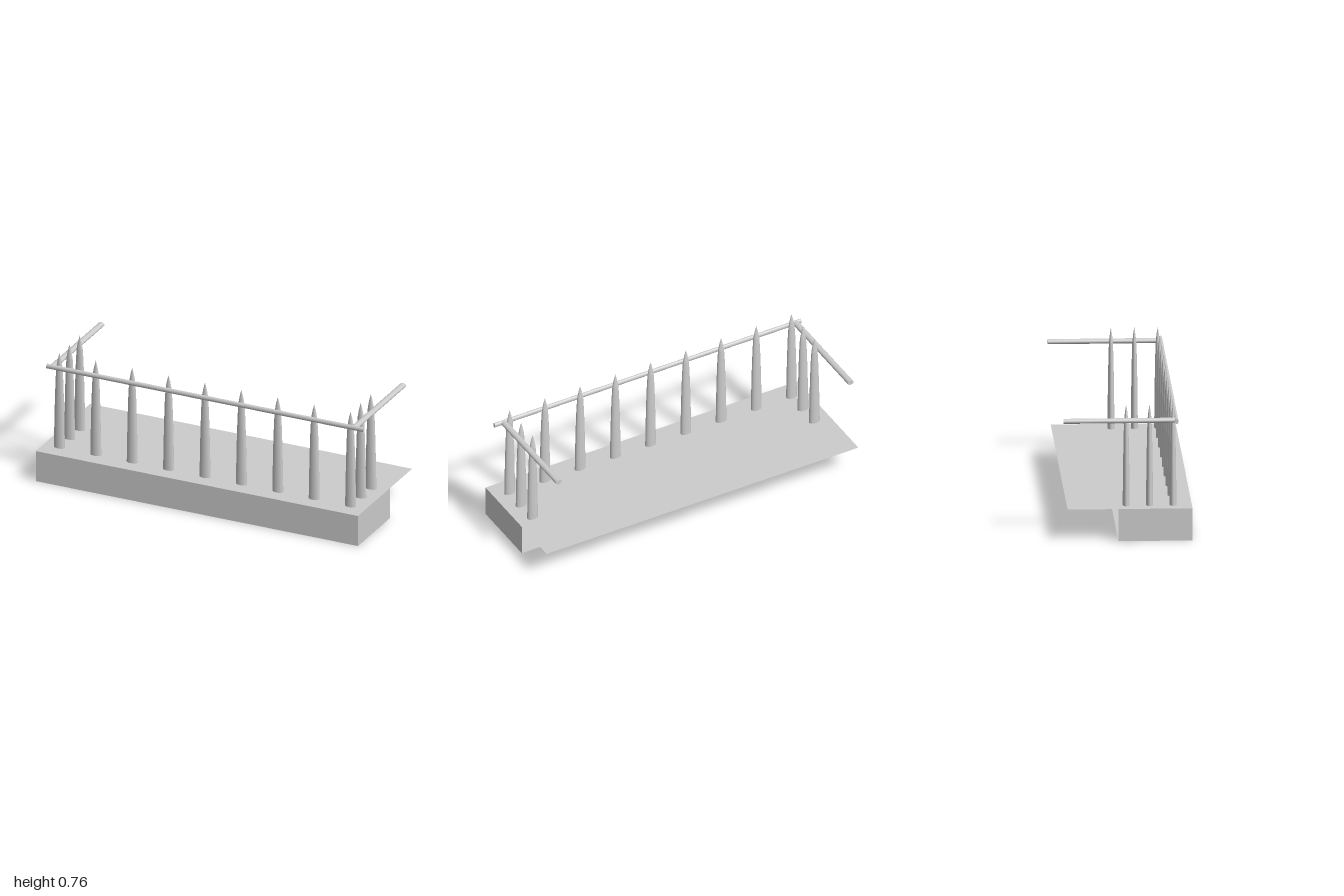
import * as THREE from 'three';

const material = new THREE.MeshStandardMaterial({ color: 0xcccccc, side: THREE.DoubleSide });

const TOP = 0.185, FRONT = 0.36, BACK = -0.055, DECK_BACK = -0.34;
const RAIL_Y = 0.679;

function addMesh(parent, name, geometry, x, y, z) {
  const mesh = new THREE.Mesh(geometry, material);
  mesh.name = name;
  mesh.position.set(x, y, z);
  parent.add(mesh);
  return mesh;
}

export function createModel() {
  const model = new THREE.Group();
  model.name = 'balcony';

  // Base: thin panels, open at the back
  const base = new THREE.Group();
  base.name = 'base';
  model.add(base);
  const depth = FRONT - BACK, midZ = (FRONT + BACK) / 2;
  addMesh(base, 'frontPanel', new THREE.PlaneGeometry(2, TOP), 0, TOP / 2, FRONT);
  addMesh(base, 'bottomPanel', new THREE.PlaneGeometry(2, depth).rotateX(Math.PI / 2), 0, 0, midZ);
  for (const side of [-1, 1]) {
    addMesh(base, side > 0 ? 'leftPanel' : 'rightPanel',
      new THREE.PlaneGeometry(depth, TOP).rotateY(side * Math.PI / 2), side, TOP / 2, midZ);
  }

  // Deck sheet overhanging the back of the base
  addMesh(model, 'deck', new THREE.PlaneGeometry(2, FRONT - DECK_BACK).rotateX(-Math.PI / 2),
    0, TOP, (FRONT + DECK_BACK) / 2);

  // Pointed pickets with an oval section; separate lathes keep the shoulder crisp
  const shaft = new THREE.LatheGeometry(
    [[1, 0.182], [0.93, 0.32], [0.83, 0.47], [0.7, 0.6], [0.56, 0.68]].map(p => new THREE.Vector2(...p)), 20)
    .scale(0.033, 1, 0.02);
  const tip = new THREE.LatheGeometry(
    [[0.56, 0.68], [0.3, 0.727], [0, 0.765]].map(p => new THREE.Vector2(...p)), 20)
    .scale(0.033, 1, 0.02);
  const foot = new THREE.CircleGeometry(1, 20).rotateX(Math.PI / 2).scale(0.033, 1, 0.02);
  const pickets = new THREE.Group();
  pickets.name = 'pickets';
  model.add(pickets);

  function addPicket(x, z) {
    const picket = new THREE.Group();
    picket.name = 'picket';
    picket.position.set(x, 0, z);
    addMesh(picket, 'picketShaft', shaft, 0, 0, 0);
    addMesh(picket, 'picketTip', tip, 0, 0, 0);
    addMesh(picket, 'picketFoot', foot, 0, 0.182, 0);
    pickets.add(picket);
  }
  for (let i = -4; i <= 4; i++) addPicket(i * 0.226, 0.255);
  for (const x of [-0.904, 0.904]) {
    for (const z of [0.124, -0.007]) addPicket(x, z);
  }

  // Oval handrails along the front and both ends
  const frontRail = new THREE.CylinderGeometry(1, 1, 1.966, 24)
    .rotateZ(Math.PI / 2).scale(1, 0.014, 0.0105);
  addMesh(model, 'frontRail', frontRail, 0.01, RAIL_Y, 0.273);
  const sideRail = new THREE.CylinderGeometry(1, 1, 0.63, 24)
    .rotateX(Math.PI / 2).scale(0.0185, 0.014, 1);
  addMesh(model, 'leftRail', sideRail, 0.934, RAIL_Y, -0.045);
  addMesh(model, 'rightRail', sideRail, -0.939, RAIL_Y, -0.045);

  return model;
}
